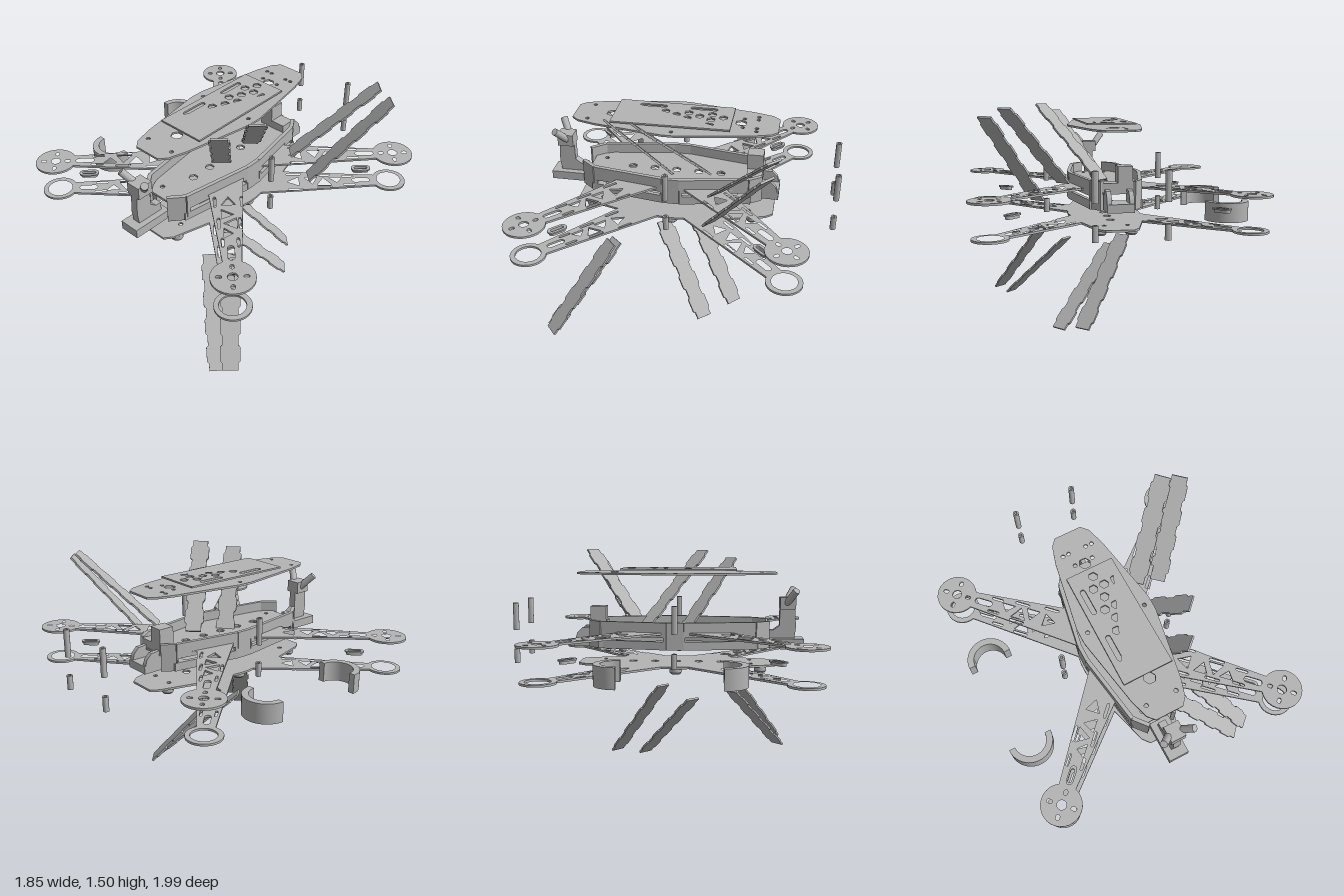
import * as THREE from 'three';
import { toCreasedNormals } from 'three/addons/utils/BufferGeometryUtils.js';

const MID = 0.077; // z of the frame's middle
const V = (x, y, z) => new THREE.Vector3(x, y, z);
const toPath = pts => new THREE.Path(pts.map(p => new THREE.Vector2(p[0], p[1])));

// n-sided ring of points
const ring = (cx, cy, r, n = 16, turn = 0) => Array.from({ length: n }, (_, i) => {
  const a = turn + i / n * Math.PI * 2;
  return [cx + r * Math.cos(a), cy + r * Math.sin(a)];
});
// rounded slot of given length and half width
const slot = (cx, cy, len, r, angle = 0) => {
  const h = len / 2 - r, pts = [];
  for (let i = 0; i < 14; i++) {
    const side = i < 7 ? 1 : -1, a = (i % 7) / 6 * Math.PI - Math.PI / 2 + (side < 0 ? Math.PI : 0);
    const x = side * h + r * Math.cos(a), y = r * Math.sin(a);
    pts.push([cx + x * Math.cos(angle) - y * Math.sin(angle), cy + x * Math.sin(angle) + y * Math.cos(angle)]);
  }
  return pts;
};

function extrude(pts, holes, depth) {
  const shape = new THREE.Shape(pts.map(p => new THREE.Vector2(p[0], p[1])));
  shape.holes = holes.map(toPath);
  return toCreasedNormals(new THREE.ExtrudeGeometry(shape, { depth, bevelEnabled: false }), 0.6);
}

// mirror a quarter outline, given as [x, z - MID], into a closed outline
function mirrored(q) {
  const m = (sx, sz) => q.map(([x, w]) => [sx * x, MID + sz * w]);
  return [...m(1, 1), ...m(1, -1).reverse(), ...m(-1, -1), ...m(-1, 1).reverse()];
}

export function createModel() {
  const model = new THREE.Group();
  const grey = new THREE.MeshStandardMaterial({ color: 0xb4b4b4 });
  grey.name = 'frame grey';

  const add = (name, geo, x = 0, y = 0, z = 0) => {
    const mesh = new THREE.Mesh(geo, grey);
    mesh.name = name;
    mesh.position.set(x, y, z);
    model.add(mesh);
    return mesh;
  };
  // flat plate from [x, z] points, with its top at y
  const plate = (name, pts, holes, y, t) => add(name, extrude(pts, holes, t).rotateX(Math.PI / 2), 0, y, 0);
  const box = (name, x0, x1, y0, y1, z0, z1) =>
    add(name, new THREE.BoxGeometry(x1 - x0, y1 - y0, z1 - z0), (x0 + x1) / 2, (y0 + y1) / 2, (z0 + z1) / 2);

  // Four-armed plates: the upper has motor discs, the lower open rings
  function armPlate(name, y, r, spread, ends, endHole) {
    const q = [[0.09, ends], [0.13, ends - 0.05], [0.2, 0.367]];
    for (let i = 0; i <= 24; i++) {
      const a = THREE.MathUtils.degToRad(225 - spread - i / 24 * (360 - 2 * spread));
      q.push([0.79 + r * Math.cos(a), 0.787 + r * Math.sin(a)]);
    }
    q.push([0.24, 0.09], [0.248, 0.03]);
    const holes = [];
    for (const sx of [1, -1]) for (const sz of [1, -1]) {
      // a runs along the arm, b across it
      const put = pts => holes.push(pts.map(([a, b]) => [sx * (a - b) * Math.SQRT1_2, MID + sz * (a + b) * Math.SQRT1_2]));
      put(ring(1.115, 0, endHole, 24));
      if (endHole < 0.05) for (let k = 0; k < 4; k++) {
        const t = k * Math.PI / 2;
        put(slot(1.115 + 0.078 * Math.cos(t), 0.078 * Math.sin(t), 0.036, 0.012, t));
      }
      put(slot(0.925, 0, 0.12, 0.02));
      put([[0.62, -0.045], [0.72, -0.045], [0.67, 0.035]]);
      put([[0.59, -0.03], [0.63, 0.045], [0.54, 0.045]]);
      put([[0.76, -0.02], [0.8, 0.035], [0.71, 0.035]]);
      put([[0.42, 0], [0.5, -0.045], [0.5, 0.045]]);
      for (const s of [1, -1]) {
        put(slot(0.84, s * 0.046, 0.08, 0.008));
        put(slot(0.67, s * 0.064, 0.1, 0.008));
        put(slot(0.47, s * 0.083, 0.1, 0.008));
      }
      holes.push(ring(sx * 0.075, MID + sz * 0.5, 0.015, 10));
    }
    for (const w of [-0.3, -0.15, 0, 0.15, 0.3]) holes.push(ring(0, MID + w, 0.03, 6));
    plate(name, mirrored(q), holes, y, 0.014);
  }
  armPlate('upperArmPlate', 0.981, 0.13, 25, 0.58, 0.03);
  armPlate('lowerArmPlate', 0.757, 0.112, 30, 0.665, 0.08);

  // Top cover and the smaller perforated plate above it
  const coverHoles = [ring(0, -0.345, 0.038, 6), ring(0, 0.5, 0.038, 6)];
  for (const s of [1, -1]) for (const [x, z] of [[0.1, -0.45], [0.06, -0.45], [0.06, -0.36], [0.195, 0.075], [0.1, 0.64]])
    coverHoles.push(ring(s * x, z, 0.013, 10));
  plate('topCover', mirrored([[0.09, 0.665], [0.13, 0.62], [0.165, 0.5], [0.245, 0.05]]), coverHoles, 1.367, 0.013);
  const vents = [];
  for (let i = 0; i < 9; i++) {
    const z = -0.23 + i * 0.0765;
    for (const x of i % 2 ? [-0.037, 0.037] : [0]) vents.push(ring(x, z, 0.029, 6));
  }
  for (const x of [-0.105, 0.105]) for (const z of [-0.09, 0.245]) vents.push(slot(x, z, 0.18, 0.016, Math.PI / 2));
  plate('ventedPlate', [[-0.155, -0.29], [0.16, -0.29], [0.165, 0.475], [-0.16, 0.475]], vents, 1.393, 0.011);

  // Side rails with long slots
  const railPts = [[0.085, 0.69], [0.16, 0.6], [0.235, 0.13], [0.235, 0.02], [0.155, -0.42], [0.1, -0.5]];
  for (const s of [1, -1]) for (let i = 0; i < railPts.length - 1; i++) {
    const [x0, z0] = railPts[i], [x1, z1] = railPts[i + 1];
    const dx = s * (x1 - x0), dz = z1 - z0, len = Math.hypot(dx, dz);
    const holes = len > 0.3 ? [[[0.02, 0.055], [len - 0.01, 0.055], [len - 0.01, 0.082], [0.02, 0.082]]] : [];
    const geo = extrude([[0, 0], [len, 0], [len, 0.18], [0, 0.18]], holes, 0.026);
    add('sideRail', geo.translate(0, 0, -0.013), s * x0, 0.867, z0).rotation.y = Math.atan2(-dz, dx);
  }
  for (const s of [1, -1]) {
    box('railFoot', s * 0.13 - 0.04, s * 0.13 + 0.04, 0.867, 0.92, 0.53, 0.62);
    box('railFoot', s * 0.13 - 0.04, s * 0.13 + 0.04, 0.867, 0.92, -0.44, -0.35);
  }

  // Nose tray, rear bumper and rear block
  box('noseTray', -0.065, 0.07, 0.867, 0.925, 0.66, 0.93);
  const side = (name, pts, x0, x1) => // profile in [z, y], extruded across x
    add(name, extrude(pts.map(([z, y]) => [-z, y]), [], x1 - x0).rotateY(Math.PI / 2), x0);
  const tail = [[-0.47, 0.867], [-0.6, 0.867], [-0.61, 0.91], [-0.595, 0.96], [-0.56, 0.995], [-0.47, 1]];
  side('rearBumper', tail, -0.085, -0.055);
  side('rearBumper', tail, 0.055, 0.085);
  box('rearTray', -0.085, 0.085, 0.867, 0.92, -0.615, -0.45);
  box('rearBlock', -0.095, 0, 1.03, 1.14, -0.5, -0.395);
  box('rearBlockBase', -0.095, 0.1, 0.98, 1.035, -0.5, -0.4);

  // Aerial mount with two splayed tubes
  side('aerialMount', [[0.69, 0.92], [0.87, 0.92], [0.88, 1.0], [0.87, 1.14], [0.77, 1.14], [0.77, 1.01], [0.73, 0.98], [0.69, 0.98]], -0.022, 0.03);
  box('aerialHead', -0.045, 0.055, 1.12, 1.2, 0.77, 0.875);
  for (const s of [1, -1]) {
    const from = V(0.004 + s * 0.03, 1.16, 0.815), to = V(0.004 + s * 0.105, 1.25, 0.87);
    const tube = add('aerialTube', new THREE.CylinderGeometry(0.024, 0.024, from.distanceTo(to), 16));
    tube.position.copy(from).lerp(to, 0.5);
    tube.quaternion.setFromUnitVectors(V(0, 1, 0), to.sub(from).normalize());
  }

  // Standoffs: a long one above a short one at each place
  for (const [x, z] of [[-0.203, -0.98], [0.213, -0.98], [-0.385, 0.077], [0.395, 0.077]])
    for (const [y0, y1] of [[0.99, 1.17], [0.77, 0.865]]) {
      const tube = [[0.009, y0], [0.019, y0], [0.019, y1], [0.009, y1], [0.009, y0]].map(p => new THREE.Vector2(...p));
      add('standoff', toCreasedNormals(new THREE.LatheGeometry(tube, 16), 0.6), x, 0, z);
    }

  // Round feet under the lower plate
  for (const [x, z] of [[-0.19, 0.077], [0.2, 0.077], [-0.095, 0.64], [0.105, 0.64], [-0.095, -0.45], [0.105, -0.45]]) {
    const foot = [[0, 0.745], [0, 0.72], [0.018, 0.72], [0.018, 0.703], [0.032, 0.703], [0.041, 0.715], [0.041, 0.745]];
    add('foot', toCreasedNormals(new THREE.LatheGeometry(foot.reverse().map(p => new THREE.Vector2(...p)).reverse(), 20), 0.5), x, 0, z)
      .geometry.index;
    add('footCore', new THREE.CylinderGeometry(0.04, 0.036, 0.036, 20), x, 0.726, z);
  }

  // Small oval grommets below the arm ends
  for (const sx of [1, -1]) for (const sz of [1, -1]) {
    const x = sx * 0.653, z = MID + sz * 0.635, t = sx * sz * Math.PI / 4;
    plate('grommetFlange', slot(x, z, 0.13, 0.03, t), [slot(x, z, 0.09, 0.012, t)], 0.872, 0.01);
    plate('grommetBody', slot(x, z, 0.11, 0.021, t), [slot(x, z, 0.09, 0.012, t)], 0.862, 0.018);
  }

  // Half-ring motor guards
  for (const [z, s] of [[-0.235, -1], [0.385, 1]]) {
    const arc = r => Array.from({ length: 25 }, (_, i) => [-0.785 + r * Math.cos(i / 24 * Math.PI), z + s * r * Math.sin(i / 24 * Math.PI)]);
    plate('motorGuard', [...arc(0.147), ...arc(0.105).reverse()], [], 0.87, 0.13);
  }

  // Slanted arm covers with stepped edges, from upper to lower end
  const covers = [
    [[0.31, 1.01, -0.22], [0.69, 1.5, -0.6]], [[0.475, 0.9, -0.21], [0.805, 1.45, -0.575]],
    [[0.04, 1.01, -0.13], [0.415, 1.5, 0.245]], [[-0.03, 0.9, 0.08], [0.3, 1.45, 0.45]],
    [[0.22, 0.505, 0.46], [0.63, 0.012, 0.835]], [[0.39, 0.61, 0.45], [0.715, 0.065, 0.81]],
    [[-0.065, 0.505, 0.19], [0.345, 0.012, -0.175]], [[-0.12, 0.61, -0.01], [0.21, 0.065, -0.365]],
  ];
  for (const [p, q] of covers) {
    const a = V(...p), b = V(...q), d = b.clone().sub(a), len = d.length();
    d.normalize();
    const w = V(d.z, 0, -d.x).normalize(), n = w.clone().cross(d);
    const edge = [[0.052, 0]];
    for (let i = 0; i < 4; i++) {
      const y = len * (0.08 + i * 0.235);
      edge.push([0.052, y], [0.064, y + 0.012], [0.064, y + 0.1], [0.052, y + 0.112]);
    }
    edge.push([0.052, len]);
    const pts = [...edge, ...edge.map(([x, y]) => [-x, y]).reverse()];
    const geo = extrude(pts, [], 0.014).translate(0, 0, -0.007);
    const mesh = add('armCover', geo);
    mesh.quaternion.setFromRotationMatrix(new THREE.Matrix4().makeBasis(w, d, n));
    mesh.position.copy(a);
  }
  return model;
}
